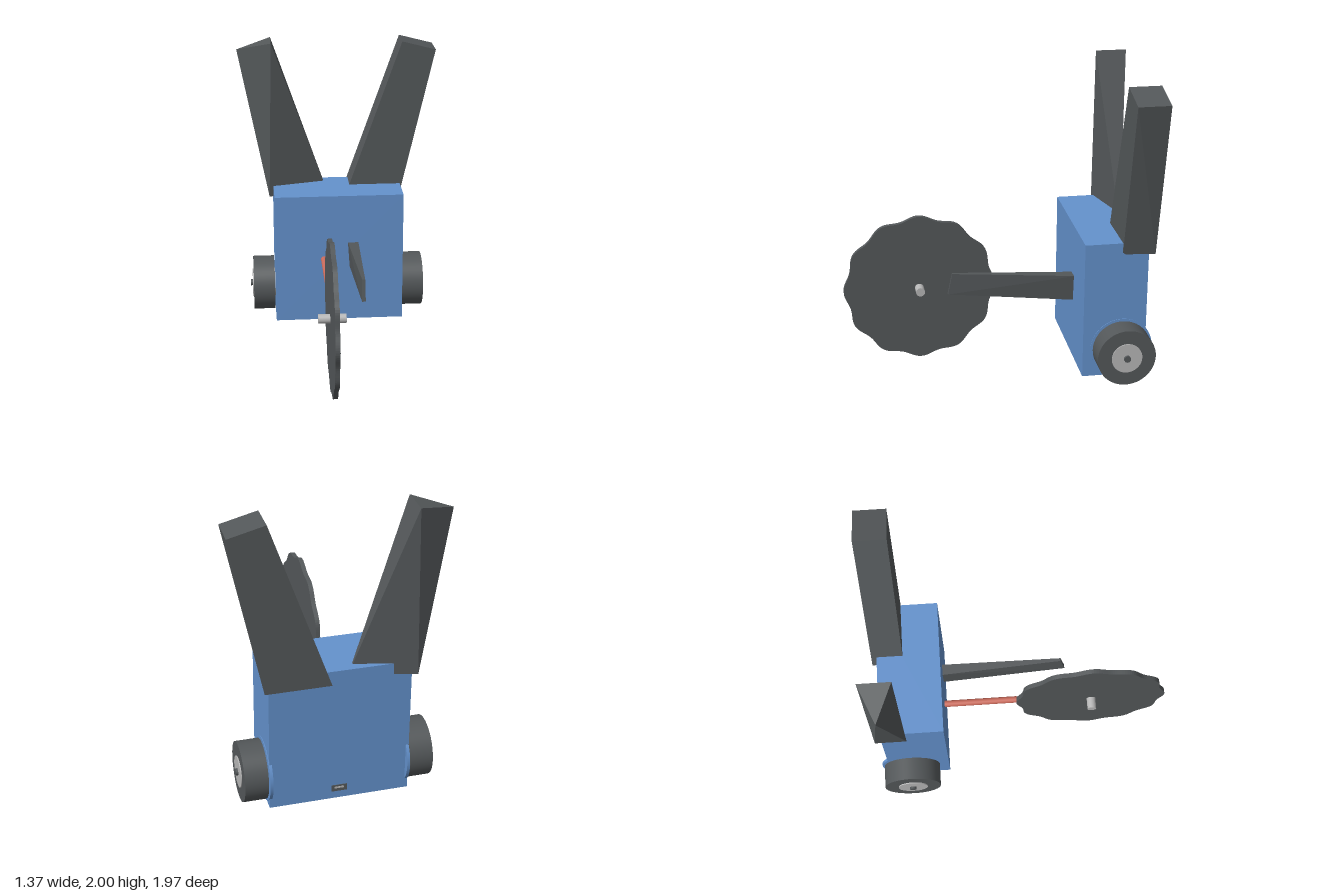
import * as THREE from 'three';
import { ConvexGeometry } from 'three/addons/geometries/ConvexGeometry.js';

export function createModel() {
  const group = new THREE.Group();
  const mat = (name, color) => new THREE.MeshStandardMaterial({ name, color });
  const blue = mat('blue', 0x6492cd);
  const dark = mat('darkGrey', 0x54585a);
  const light = mat('lightGrey', 0xb8b8b8);
  const red = mat('red', 0xc96b5c);

  const add = (name, geometry, material, x = 0, y = 0, z = 0) => {
    const mesh = new THREE.Mesh(geometry, material);
    mesh.name = name;
    mesh.position.set(x, y, z);
    group.add(mesh);
    return mesh;
  };
  const hull = (name, points, material) =>
    add(name, new ConvexGeometry(points.map((p) => new THREE.Vector3(...p))), material);
  // Cylinder lying along x, between x0 and x1
  const rodX = (name, r, x0, x1, y, z, material) =>
    add(name, new THREE.CylinderGeometry(r, r, Math.abs(x1 - x0), 48).rotateZ(Math.PI / 2),
      material, (x0 + x1) / 2, y, z);

  // Body with a small socket low on the back
  add('body', new THREE.BoxGeometry(0.895, 0.925, 0.415), blue, -0.002, 0.513, -0.738);
  add('socket', new THREE.BoxGeometry(0.1, 0.045, 0.006), dark, 0, 0.125, -0.946);
  add('socketTongue', new THREE.BoxGeometry(0.06, 0.012, 0.006), light, 0, 0.13, -0.948);

  // Wheels, mirrored on both sides
  for (const s of [1, -1]) {
    const side = s > 0 ? 'left' : 'right';
    const y = 0.243, z = -0.785;
    rodX(side + 'WheelMount', 0.205, s * 0.43, s * 0.449, y, z, blue);
    rodX(side + 'Wheel', 0.191, s * 0.455, s * 0.604, y, z, dark);
    rodX(side + 'Hub', 0.1, s * 0.44, s * 0.611, y, z, light);
    rodX(side + 'WheelAxle', 0.022, s * 0.44, s * 0.626, y, z, dark);
  }

  // Right fin: outward triangle on top, inward triangle at the bottom
  hull('rightFin', [
    [-0.685, 1.94, -0.88], [-0.45, 2, -0.98], [-0.45, 2, -0.775],
    [-0.065, 0.9, -0.88], [-0.478, 0.9, -0.98], [-0.478, 0.9, -0.775],
  ], dark);

  // Left fin: slightly twisted block
  hull('leftFin', [
    [0.45, 2, -0.98], [0.45, 2, -0.772], [0.682, 1.94, -0.98], [0.682, 1.94, -0.772],
    [0.06, 0.9, -0.98], [0.06, 0.9, -0.775], [0.475, 0.9, -0.98], [0.443, 0.9, -0.775],
  ], dark);

  // Wavy disc blade
  const lobes = 12, steps = 192, rim = [];
  for (let i = 0; i < steps; i++) {
    const a = (i / steps) * Math.PI * 2;
    const r = 0.496 + 0.013 * Math.cos(a * lobes);
    rim.push(new THREE.Vector2(r * Math.cos(a), r * Math.sin(a)));
  }
  const disc = new THREE.ExtrudeGeometry(new THREE.Shape(rim), { depth: 0.03, bevelEnabled: false });
  add('discBlade', disc.rotateY(Math.PI / 2), dark, -0.136, 0.51, 0.468);
  rodX('discAxle', 0.03, -0.212, -0.032, 0.51, 0.472, light);

  // Red rod holding the disc
  add('discRod', new THREE.CylinderGeometry(0.022, 0.022, 0.52, 24).rotateX(Math.PI / 2),
    red, -0.11, 0.51, -0.295);

  // Tapered spike arm
  hull('spikeArm', [
    [0.058, 0.63, -0.54], [0.132, 0.63, -0.54], [0.07, 0.45, -0.54], [0.115, 0.45, -0.54],
    [0.085, 0.688, 0.276], [0.105, 0.688, 0.276], [0.083, 0.545, 0.305], [0.107, 0.545, 0.305],
  ], dark);

  return group;
}
